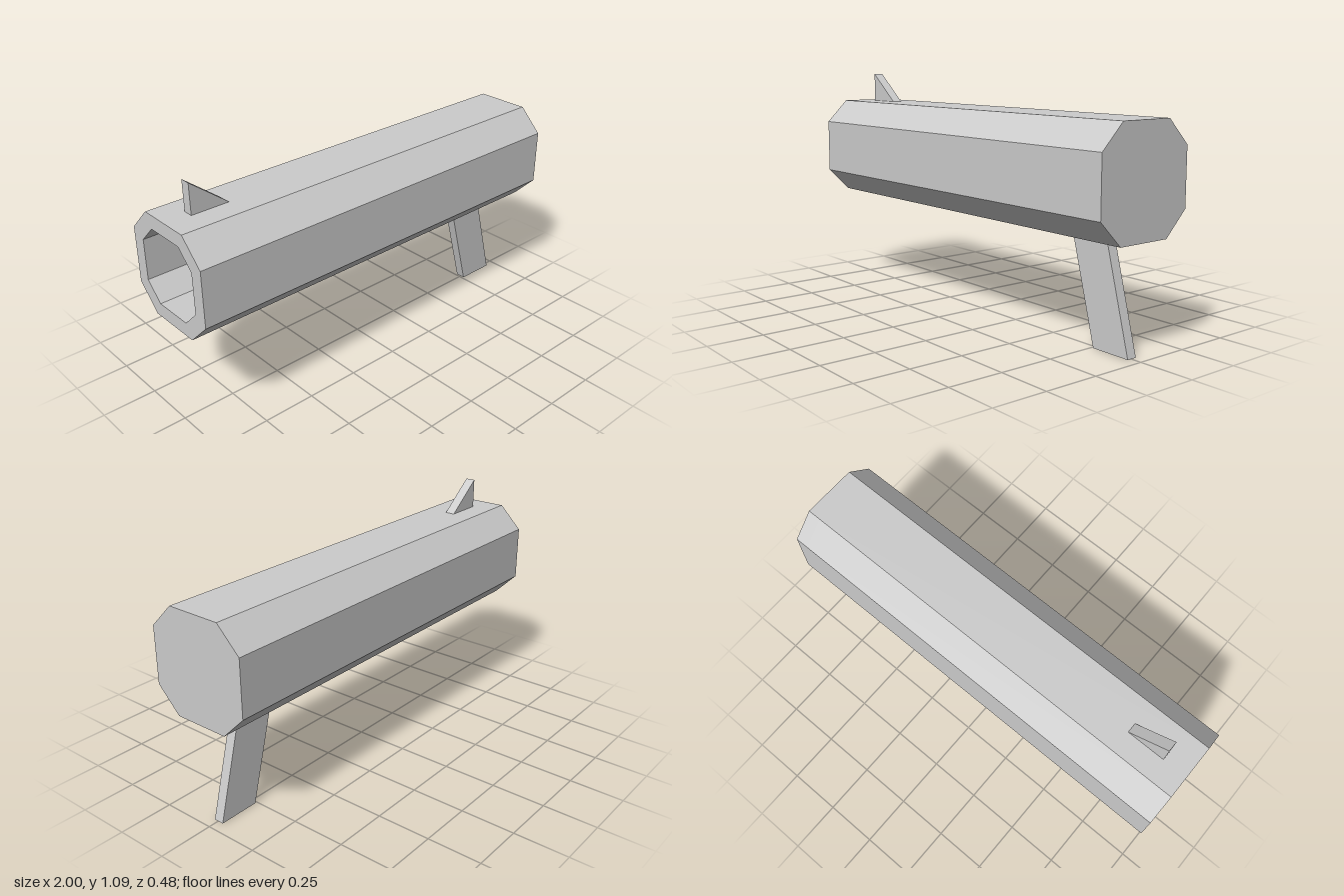
import * as THREE from 'three';

const material = new THREE.MeshStandardMaterial({ color: 0xcccccc, flatShading: true });

// Corners of the chamfered square section, scaled about its centre
function octagon(scale) {
  const w = 0.24 * scale, c = 0.13 * scale;
  return [[w, -c], [w, c], [c, w], [-c, w], [-w, c], [-w, -c], [-c, -w], [c, -w]]
    .map(([x, y]) => new THREE.Vector2(x, y * 0.99));
}

function extrude(name, shape, depth) {
  const geometry = new THREE.ExtrudeGeometry(shape, { depth, bevelEnabled: false });
  const mesh = new THREE.Mesh(geometry, material);
  mesh.name = name;
  return mesh;
}

// Flat plate drawn in the side profile (x, y), sitting slightly off centre in z
function plate(name, points) {
  const shape = new THREE.Shape(points.map(([x, y]) => new THREE.Vector2(x, y)));
  const mesh = extrude(name, shape, 0.047);
  mesh.position.z = -0.027;
  return mesh;
}

export function createModel() {
  const model = new THREE.Group();
  const centreY = 0.7125, wall = 0.065;

  // Octagonal tube, open at the muzzle (-x)
  const section = new THREE.Shape(octagon(1));
  section.holes.push(new THREE.Path(octagon(0.73).reverse()));
  const barrel = extrude('barrel', section, 2 - wall);
  barrel.rotation.y = Math.PI / 2;
  barrel.position.set(-1, centreY, 0);

  // Solid plate closing the rear end (+x)
  const endCap = extrude('endCap', new THREE.Shape(octagon(1)), wall);
  endCap.rotation.y = Math.PI / 2;
  endCap.position.set(1 - wall, centreY, 0);

  // Slanted grip below and triangular sight above
  const grip = plate('grip', [[0.76, 0], [0.95, 0], [0.818, 0.49], [0.626, 0.49]]);
  const sight = plate('sight', [[-0.885, 0.949], [-0.705, 0.949], [-0.885, 1.09]]);

  model.add(barrel, endCap, grip, sight);
  return model;
}
